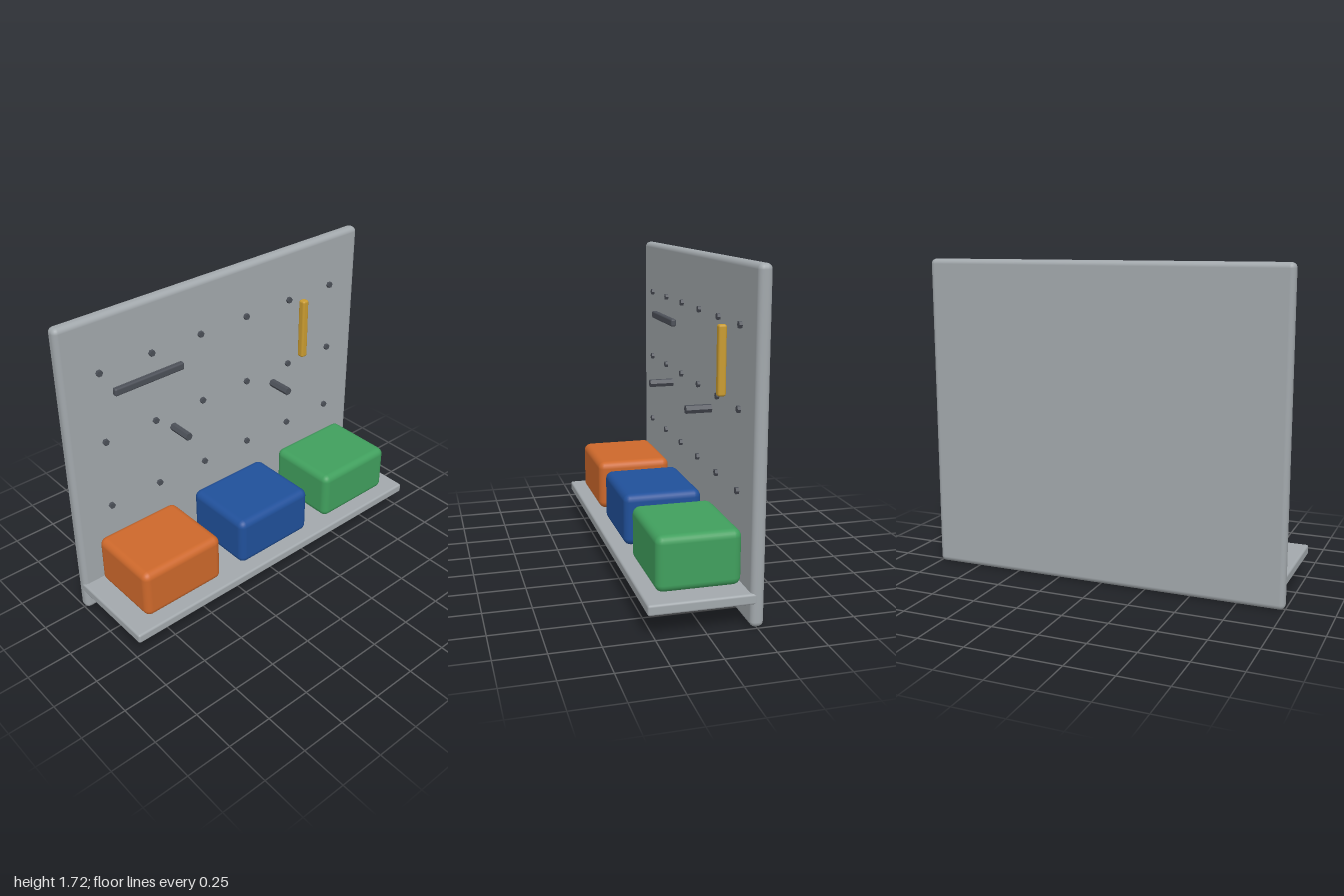
import * as THREE from 'three';
import { RoundedBoxGeometry } from 'three/addons/geometries/RoundedBoxGeometry.js';

function mat(name, color) {
  const m = new THREE.MeshStandardMaterial({ color });
  m.name = name;
  return m;
}

export function createModel() {
  const root = new THREE.Group();
  root.name = 'pegboardOrganizer';
  const grey = mat('light grey', 0xa2a8ac);
  const dark = mat('dark grey', 0x4c5058);
  const orange = mat('orange', 0xcd682b);
  const blue = mat('blue', 0x20509a);
  const green = mat('green', 0x409f5d);
  const yellow = mat('yellow', 0xc99b30);

  // Rounded box given by its min and max corners
  function box(name, material, min, max, radius) {
    const size = max.map((v, i) => v - min[i]);
    const mesh = new THREE.Mesh(new RoundedBoxGeometry(...size, 3, radius), material);
    mesh.position.set(...max.map((v, i) => (v + min[i]) / 2));
    mesh.name = name;
    root.add(mesh);
  }

  // Six-sided rod standing out of the board towards the front
  function rod(name, x, y, radius, front) {
    const back = -0.24;
    const geo = new THREE.CylinderGeometry(radius, radius, front - back, 6);
    geo.rotateY(Math.PI / 6).rotateX(Math.PI / 2);
    const flat = geo.toNonIndexed();
    flat.computeVertexNormals();
    const mesh = new THREE.Mesh(flat, dark);
    mesh.position.set(x, y, (front + back) / 2);
    mesh.name = name;
    root.add(mesh);
  }

  // Board and shelf
  box('backBoard', grey, [-1, 0, -0.286], [1, 1.715, -0.218], 0.028);
  box('shelf', grey, [-1, 0.12, -0.25], [1, 0.175, 0.286], 0.012);

  // Storage bins
  [['rightBin', orange], ['middleBin', blue], ['leftBin', green]].forEach(([name, m], i) => {
    const x = (i - 1) * 0.643;
    box(name, m, [x - 0.25, 0.175, -0.21], [x + 0.25, 0.458, 0.217], 0.04);
  });

  // Grid of short pegs
  for (let row = 0; row < 4; row++) {
    for (let col = 0; col < 6; col++) {
      rod('peg', (col - 2.5) * 0.314, 0.22 + row * 0.4, 0.018, -0.202);
    }
  }

  // Long hooks
  for (const x of [-0.357, 0.357]) rod('hook', x, 0.932, 0.023, -0.08);

  // Hanging tools
  box('darkTool', dark, [-0.717, 1.268, -0.218], [-0.287, 1.311, -0.187], 0.01);
  box('yellowTool', yellow, [0.55, 1.04, -0.218], [0.592, 1.395, -0.175], 0.012);

  return root;
}
